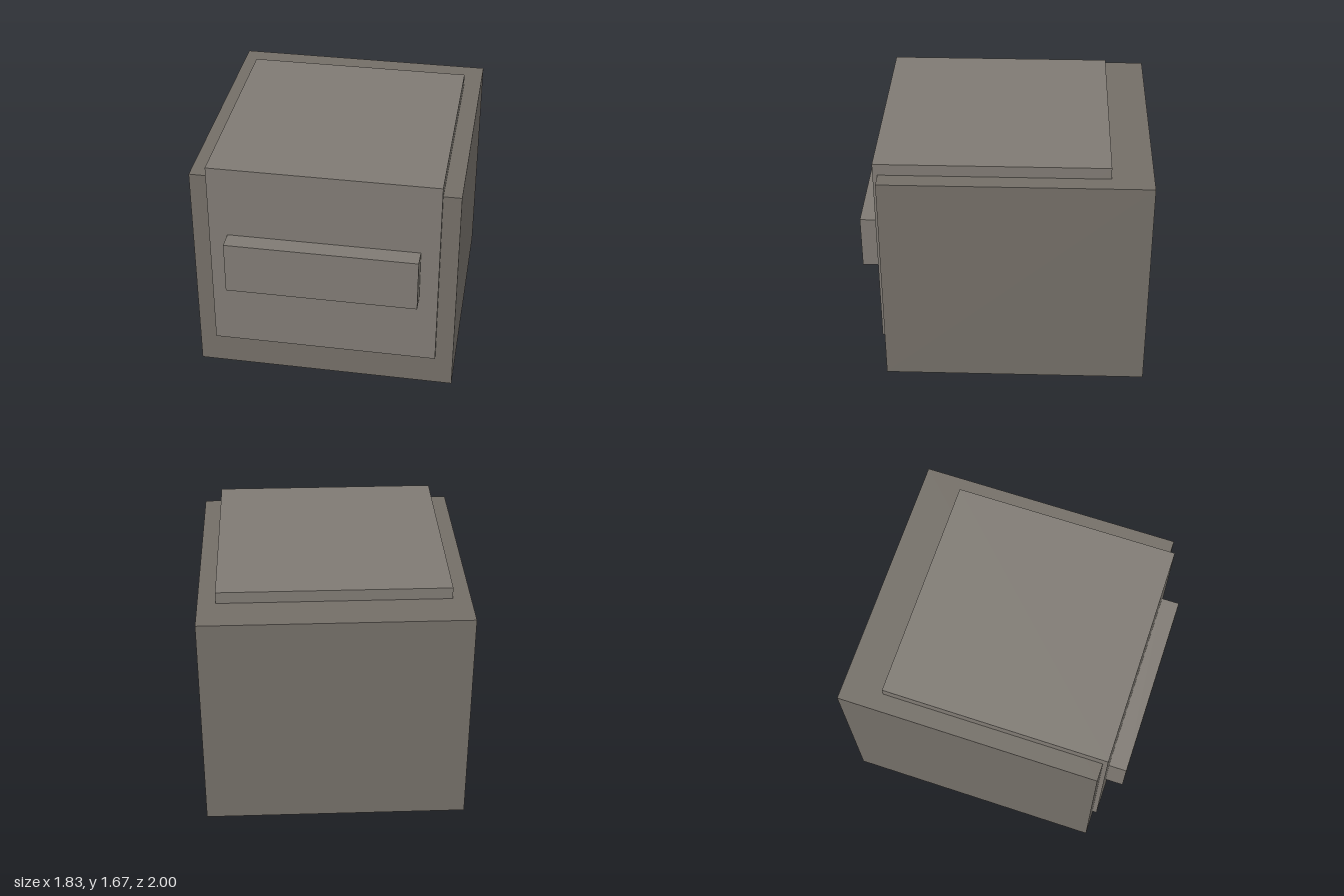
import * as THREE from 'three';

export function createModel() {
  const model = new THREE.Group();
  const bodyMaterial = new THREE.MeshStandardMaterial({ color: 0x736e67 });
  const panelMaterial = new THREE.MeshStandardMaterial({ color: 0x7f7a73 });

  // Box given by its extents along each axis
  function addBox(name, material, [x0, x1], [y0, y1], [z0, z1]) {
    const mesh = new THREE.Mesh(new THREE.BoxGeometry(x1 - x0, y1 - y0, z1 - z0), material);
    mesh.position.set((x0 + x1) / 2, (y0 + y1) / 2, (z0 + z1) / 2);
    mesh.name = name;
    model.add(mesh);
  }

  // Main cabinet block
  addBox('body', bodyMaterial, [-0.917, 0.917], [0, 1.588], [-1, 0.84]);
  // Raised block showing as the lid on top and the panel in front
  addBox('lidAndFrontPanel', panelMaterial, [-0.793, 0.793], [0.24, 1.67], [-0.715, 0.873]);
  // Wide bar handle on the front panel
  addBox('handle', panelMaterial, [-0.665, 0.665], [0.765, 1.145], [0.873, 1]);

  return model;
}
